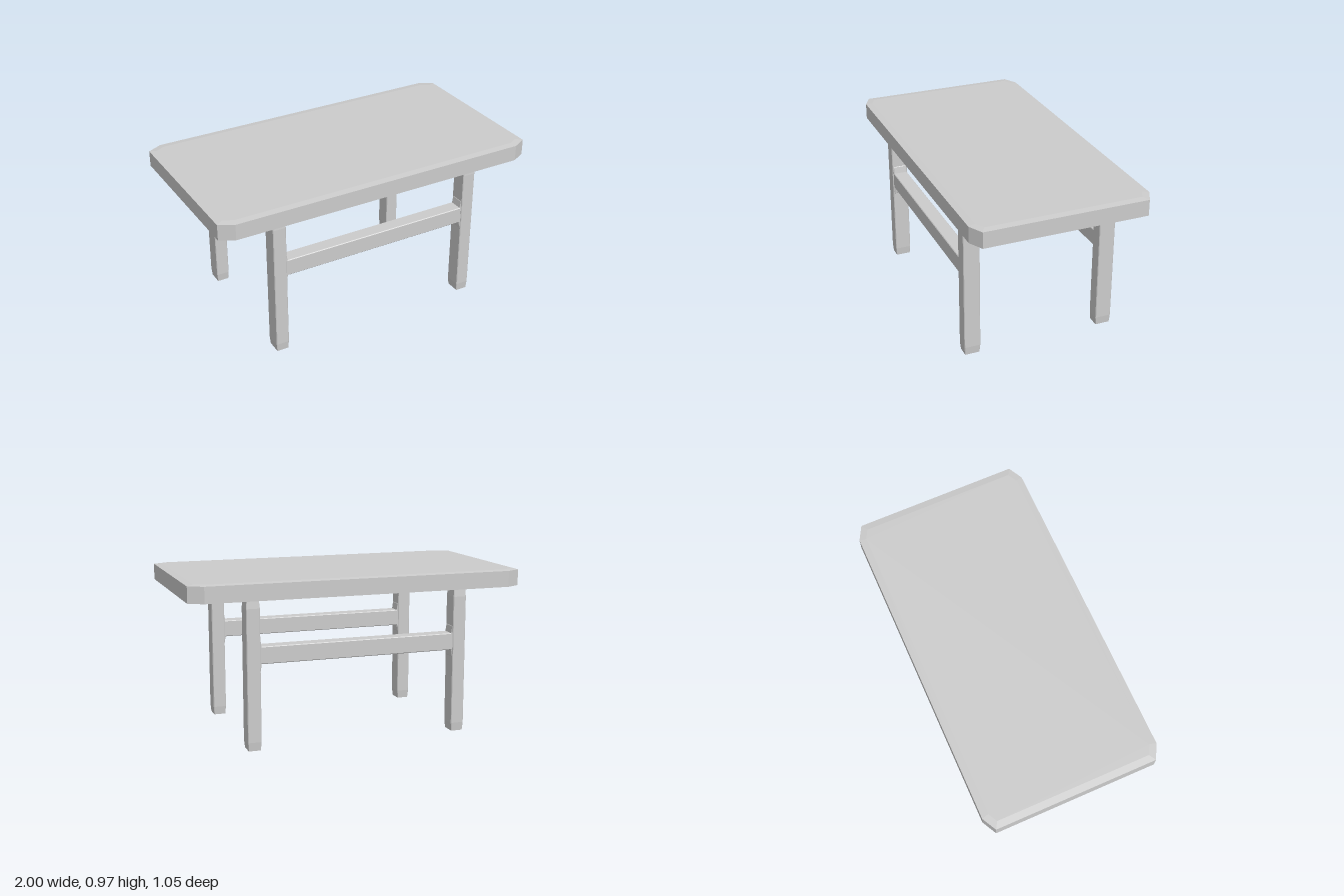
import * as THREE from 'three';

const material = new THREE.MeshStandardMaterial({ color: 0xcccccc });

// Rectangle with cut corners, given by half sizes and corner cuts
function cutRect(hx, hy, cx, cy) {
  return new THREE.Shape([
    [hx, -hy + cy], [hx, hy - cy], [hx - cx, hy], [-hx + cx, hy],
    [-hx, hy - cy], [-hx, -hy + cy], [-hx + cx, -hy], [hx - cx, -hy],
  ].map(([x, y]) => new THREE.Vector2(x, y)));
}

// Extrusion of total length len whose ends taper inward by inset over run
function taperedExtrude(shape, len, inset, run) {
  const geometry = new THREE.ExtrudeGeometry(shape, {
    depth: len - 2 * run, bevelEnabled: true, bevelSegments: 1,
    bevelSize: inset, bevelOffset: -inset, bevelThickness: run,
  });
  return geometry.translate(0, 0, run);
}

function addPart(group, name, geometry, x, y, z) {
  const mesh = new THREE.Mesh(geometry, material);
  mesh.name = name;
  mesh.position.set(x, y, z);
  group.add(mesh);
}

export function createModel() {
  const group = new THREE.Group();
  group.name = 'table';

  // Top slab with cut corners and a very shallow edge slope
  const top = taperedExtrude(cutRect(1, 0.527, 0.085, 0.045), 0.105, 0.04, 0.005);
  addPart(group, 'tableTop', top.rotateX(-Math.PI / 2), 0, 0.865, 0);

  // Legs with softened edges and tapered feet
  const leg = taperedExtrude(cutRect(0.04, 0.049, 0.004, 0.004), 0.868, 0.005, 0.05);
  leg.rotateX(-Math.PI / 2);
  for (const [side, x] of [['Left', 0.63], ['Right', -0.63]]) {
    for (const [end, z] of [['front', 0.417], ['back', -0.417]]) {
      addPart(group, `${end}${side}Leg`, leg, x, 0, z);
    }
  }

  // Long stretchers with small flares where they meet the legs
  const half = [[0.6, -0.11], [0.588, -0.09], [0.582, -0.05], [-0.582, -0.05], [-0.588, -0.09], [-0.6, -0.11]];
  const outline = [...half, ...half.map(([x, y]) => [-x, -y])];
  const stretcherShape = new THREE.Shape(outline.map(([x, y]) => new THREE.Vector2(x, y)));
  const stretcher = taperedExtrude(stretcherShape, 0.086, 0.004, 0.004).translate(0, 0, -0.043);
  addPart(group, 'frontStretcher', stretcher, 0, 0.55, 0.417);
  addPart(group, 'backStretcher', stretcher, 0, 0.55, -0.417);

  return group;
}
